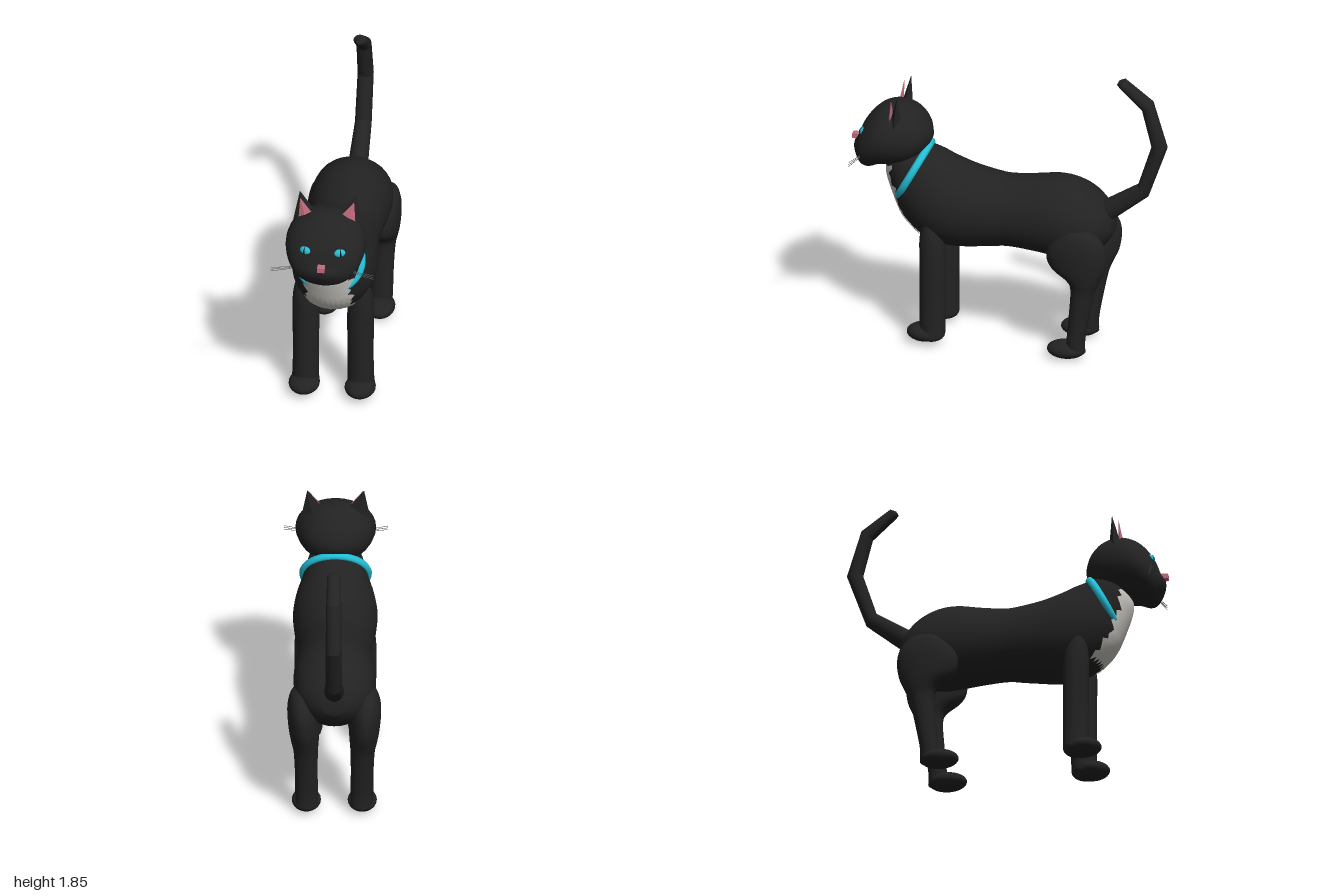
import * as THREE from 'three';
import { toCreasedNormals } from 'three/addons/utils/BufferGeometryUtils.js';

const mat = (name, color, side = THREE.FrontSide) => {
  const m = new THREE.MeshStandardMaterial({ color, side });
  m.name = name;
  return m;
};

// Each section is [zA, yA, zB, yB, halfWidth, centreX]; A and B are opposite ends of the ring.
function sample(sections, u) {
  const n = sections.length - 1;
  const i = Math.min(Math.max(Math.floor(u), 0), n - 1), t = u - i;
  const at = (k) => sections[Math.min(Math.max(k, 0), n)];
  const [a, b, c, d] = [at(i - 1), at(i), at(i + 1), at(i + 2)];
  return b.map((p1, k) => {
    const v0 = (c[k] - a[k]) / 2, v1 = (d[k] - p1) / 2, p2 = c[k];
    return (2 * p1 - 2 * p2 + v0 + v1) * t ** 3 + (-3 * p1 + 3 * p2 - 2 * v0 - v1) * t * t + v0 * t + p1;
  });
}

// Point on a section ring; scale 0 gives its centre.
function ringPoint([za, ya, zb, yb, w, x = 0], angle, scale = 1) {
  const c = Math.cos(angle) * scale / 2;
  return [x + w * scale * Math.sin(angle), (ya + yb) / 2 + (ya - yb) * c, (za + zb) / 2 + (za - zb) * c];
}

// Grid surface from a function of row and column.
function grid(rows, cols, point, wrap) {
  const pos = [], idx = [], stride = wrap ? cols : cols + 1;
  for (let r = 0; r <= rows; r++) for (let c = 0; c < stride; c++) pos.push(...point(r, c));
  for (let r = 0; r < rows; r++) for (let c = 0; c < cols; c++) {
    const a = r * stride + c, b = r * stride + (c + 1) % stride;
    idx.push(a, b, a + stride, b, b + stride, a + stride);
  }
  const g = new THREE.BufferGeometry();
  g.setAttribute('position', new THREE.Float32BufferAttribute(pos, 3));
  g.setIndex(idx);
  g.computeVertexNormals();
  return g;
}

// Closed loft through sections, with steps smooth rings per section.
function loft(sections, steps = 4, sides = 32) {
  const rows = (sections.length - 1) * steps;
  return grid(rows + 2, sides, (r, c) => {
    const u = Math.min(Math.max(r - 1, 0), rows) / steps;
    return ringPoint(sample(sections, u), c / sides * Math.PI * 2, r === 0 || r === rows + 2 ? 0 : 1);
  }, true);
}

// Thin four-sided spike for the ears.
function spike(tip, inner, outer, depth) {
  const mid = inner.map((v, i) => (v + outer[i]) / 2);
  const front = [mid[0], mid[1], mid[2] + depth], back = [mid[0], mid[1], mid[2] - depth];
  const base = [inner, front, outer, back], pos = [];
  base.forEach((p, i) => pos.push(...p, ...base[(i + 1) % 4], ...tip));
  const g = new THREE.BufferGeometry();
  g.setAttribute('position', new THREE.Float32BufferAttribute(pos, 3));
  g.computeVertexNormals();
  return g;
}

const BODY = [
  [0.60, 1.30, 0.76, 1.20, 0.13], [0.52, 1.255, 0.78, 1.08, 0.168], [0.42, 1.22, 0.73, 0.92, 0.205],
  [0.36, 1.19, 0.66, 0.78, 0.24], [0.30, 1.165, 0.53, 0.665, 0.26], [0.22, 1.14, 0.36, 0.615, 0.255],
  [0.10, 1.115, 0.12, 0.635, 0.235], [0, 1.105, 0, 0.65, 0.225], [-0.15, 1.12, -0.15, 0.64, 0.235],
  [-0.30, 1.14, -0.28, 0.625, 0.25], [-0.42, 1.125, -0.40, 0.615, 0.25], [-0.53, 1.07, -0.52, 0.64, 0.225],
  [-0.62, 0.98, -0.61, 0.72, 0.16], [-0.66, 0.90, -0.665, 0.80, 0.07],
];
const HEAD = [
  [0.985, 1.235, 0.98, 1.20, 0.02], [0.98, 1.25, 0.965, 1.17, 0.07], [0.955, 1.29, 0.94, 1.13, 0.13],
  [0.92, 1.38, 0.91, 1.10, 0.19], [0.86, 1.46, 0.87, 1.095, 0.225], [0.79, 1.51, 0.82, 1.115, 0.245],
  [0.70, 1.53, 0.74, 1.125, 0.245], [0.60, 1.50, 0.63, 1.15, 0.21], [0.53, 1.43, 0.54, 1.22, 0.14],
  [0.495, 1.35, 0.495, 1.30, 0.04],
];
const TAIL = [
  [-0.58, 1.00, -0.62, 0.86, 0.062], [-0.815, 1.145, -0.88, 1.07, 0.052], [-0.90, 1.41, -1.0, 1.41, 0.05],
  [-0.84, 1.65, -0.91, 1.71, 0.047], [-0.70, 1.785, -0.73, 1.845, 0.042], [-0.68, 1.805, -0.695, 1.833, 0.02],
];
const FRONT_LEG = [
  [0.455, 0.87, 0.485, 0.87, 0.02, 0.18], [0.42, 0.81, 0.51, 0.81, 0.055, 0.175],
  [0.38, 0.70, 0.53, 0.70, 0.078, 0.172], [0.37, 0.55, 0.53, 0.55, 0.083, 0.17],
  [0.37, 0.30, 0.53, 0.30, 0.08, 0.17], [0.37, 0.12, 0.53, 0.12, 0.082, 0.172],
  [0.375, 0.05, 0.53, 0.05, 0.085, 0.173], [0.41, 0.025, 0.50, 0.025, 0.05, 0.173],
];
const REAR_LEG = [
  [-0.54, 0.885, -0.46, 0.885, 0.025, 0.20], [-0.60, 0.85, -0.38, 0.865, 0.065, 0.20],
  [-0.65, 0.77, -0.30, 0.78, 0.092, 0.195], [-0.66, 0.69, -0.28, 0.69, 0.098, 0.19],
  [-0.645, 0.60, -0.31, 0.61, 0.095, 0.185], [-0.61, 0.52, -0.40, 0.54, 0.085, 0.18],
  [-0.58, 0.44, -0.43, 0.47, 0.075, 0.175], [-0.55, 0.30, -0.42, 0.30, 0.07, 0.172],
  [-0.52, 0.13, -0.405, 0.13, 0.07, 0.17], [-0.52, 0.04, -0.40, 0.04, 0.065, 0.17],
];

export function createModel() {
  const model = new THREE.Group();
  model.name = 'cat';
  const fur = mat('black fur', 0x222222);
  const pupilBlack = mat('pupil black', 0x111111);
  const cyan = mat('cyan', 0x22bfd6);
  const pink = mat('pink', 0xc46c7e);
  const white = mat('chest white', 0xcfccc6, THREE.DoubleSide);
  const grey = mat('whisker grey', 0x666666);

  const add = (name, geometry, material) => {
    const mesh = new THREE.Mesh(geometry, material);
    mesh.name = name;
    model.add(mesh);
    return mesh;
  };
  const ball = (name, material, position, radii) => {
    const mesh = add(name, new THREE.SphereGeometry(1, 24, 16), material);
    mesh.position.set(...position);
    mesh.scale.set(...radii);
    return mesh;
  };

  add('body', loft(BODY), fur);
  add('head', loft(HEAD), fur);
  add('tail', toCreasedNormals(loft(TAIL, 1, 24).toNonIndexed(), 0.45), fur);

  // Chest patch follows the body skin, with ragged sides and lower edge
  const rows = 18, cols = 18;
  add('chestPatch', grid(rows, cols, (r, c) => {
    const k = c / cols * 2 - 1;
    const end = 3.62 + 0.25 * k * k + (c % 2 ? 0.14 : -0.1);
    const u = 0.75 + (end - 0.75) * r / rows;
    const section = sample(BODY, u);
    const half = 0.138 + 0.014 * Math.sin(r * 2.3) + 0.01 * Math.sin(r * 1.1 + k);
    const x = Math.min(half / section[4], 0.9) * k;
    return ringPoint(section, Math.PI - Math.asin(x), 1.025);
  }, false), white);

  // Collar: tilted oval that sinks into the chest
  const oval = Array.from({ length: 32 }, (_, i) => {
    const a = i / 32 * Math.PI * 2;
    return new THREE.Vector3(0.2 * Math.sin(a), 1.085 + 0.17 * Math.cos(a), 0.605 - 0.092 * Math.cos(a));
  });
  add('collar', new THREE.TubeGeometry(new THREE.CatmullRomCurve3(oval, true), 64, 0.024, 10, true), cyan);

  const nose = add('nose', new THREE.BoxGeometry(0.045, 0.032, 0.05), pink);
  nose.position.set(0, 1.27, 0.975);

  for (const s of [1, -1]) {
    const side = s > 0 ? 'left' : 'right';
    const place = (sections) => sections.map((p) => [...p.slice(0, 5), p[5] * s]);

    // Legs and paws
    add(side + 'FrontLeg', loft(place(FRONT_LEG)), fur);
    add(side + 'RearLeg', loft(place(REAR_LEG)), fur);
    ball(side + 'FrontPaw', fur, [s * 0.174, 0.07, 0.495], [0.096, 0.056, 0.115]);
    ball(side + 'RearPaw', fur, [s * 0.172, 0.055, -0.4], [0.09, 0.055, 0.12]);

    // Eyes
    const eye = ball(side + 'Eye', cyan, [s * 0.104, 1.347, 0.9], [0.044, 0.032, 0.03]);
    const pupil = ball(side + 'Pupil', pupilBlack, [s * 0.107, 1.347, 0.902], [0.008, 0.031, 0.031]);
    eye.rotation.y = pupil.rotation.y = s * 0.3;

    // Ears, mirrored by scale
    const ear = add(side + 'Ear', spike([0.175, 1.63, 0.675], [0.07, 1.49, 0.69], [0.215, 1.42, 0.69], 0.035), fur);
    const inner = add(side + 'InnerEar', spike([0.168, 1.605, 0.715], [0.08, 1.49, 0.725], [0.178, 1.44, 0.725], 0.015), pink);
    ear.scale.x = inner.scale.x = s;

    // Whiskers
    for (const k of [-1, 0, 1]) {
      const line = new THREE.LineCurve3(
        new THREE.Vector3(s * 0.13, 1.215 + k * 0.004, 0.89),
        new THREE.Vector3(s * 0.32, 1.213 + k * 0.013, 0.945));
      add(side + 'Whisker', new THREE.TubeGeometry(line, 1, 0.0018, 5), grey);
    }
  }
  return model;
}
